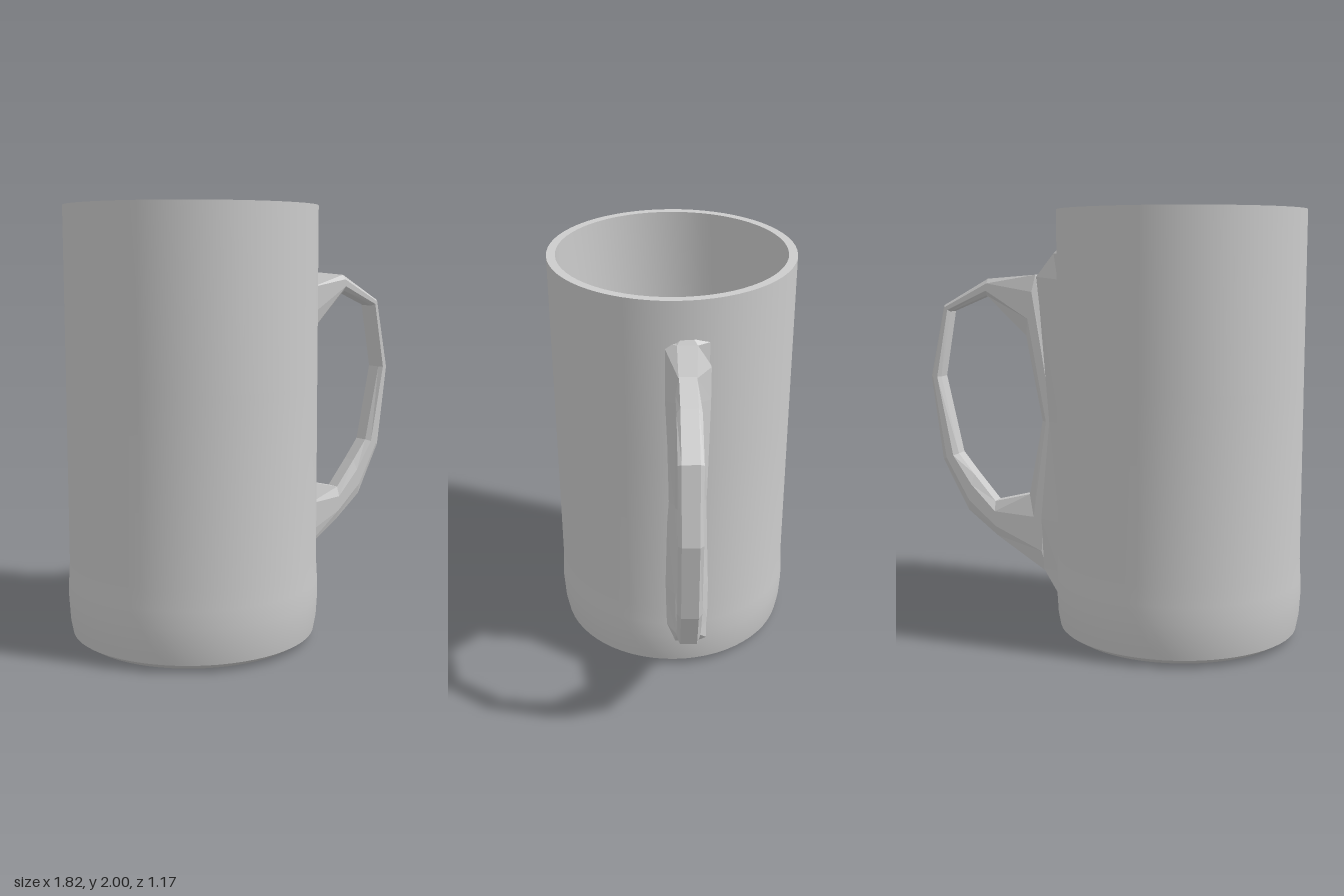
import * as THREE from 'three';
import { toCreasedNormals } from 'three/addons/utils/BufferGeometryUtils.js';

const CUP_X = -0.325;
const HANDLE_Z = -0.055;

// Skin a list of cross-sections with flat quads.
function loft(sections, closedPath, closedSection) {
  const pos = [];
  const n = sections.length, m = sections[0].length;
  for (let i = 0; i < (closedPath ? n : n - 1); i++) {
    const s = sections[i], t = sections[(i + 1) % n];
    for (let j = 0; j < (closedSection ? m : m - 1); j++) {
      const k = (j + 1) % m;
      pos.push(...s[j], ...t[k], ...s[k], ...s[j], ...t[j], ...t[k]);
    }
  }
  const g = new THREE.BufferGeometry();
  g.setAttribute('position', new THREE.Float32BufferAttribute(pos, 3));
  g.computeVertexNormals();
  return g;
}

export function createModel() {
  const group = new THREE.Group();
  const smooth = new THREE.MeshStandardMaterial({ color: 0xcccccc });
  const faceted = new THREE.MeshStandardMaterial({
    color: 0xcccccc, flatShading: true, side: THREE.DoubleSide,
  });

  // Cup: outer wall, flat rim, inner wall and floor in one profile
  const profile = [
    [0, 0], [0.52, 0.005], [0.568, 0.035], [0.58, 0.1], [0.586, 0.2], [0.584, 0.28],
    [0.579, 0.37], [0.578, 1.2], [0.578, 2],
    [0.537, 2], [0.535, 0.3], [0.52, 0.17], [0.48, 0.12], [0, 0.1],
  ].map(([r, y]) => new THREE.Vector2(r, y));
  const cup = new THREE.Mesh(toCreasedNormals(new THREE.LatheGeometry(profile, 64), 0.6), smooth);
  cup.name = 'cup';
  cup.position.x = CUP_X;
  group.add(cup);

  const handle = new THREE.Group();
  handle.name = 'handle';
  handle.position.z = HANDLE_Z;
  group.add(handle);

  // Grip: a faceted loop; each station is inner x, y, outer x, y
  const stations = [
    [0.33, 1.0, 0.25, 1.0],
    [0.41, 1.41, 0.36, 1.70],
    [0.61, 1.60, 0.60, 1.68],
    [0.80, 1.52, 0.83, 1.55],
    [0.855, 1.2, 0.905, 1.2],
    [0.77, 0.82, 0.85, 0.79],
    [0.69, 0.72, 0.72, 0.54],
    [0.58, 0.59, 0.57, 0.42],
    [0.40, 0.635, 0.31, 0.25],
  ];
  // Section: fraction from inner to outer edge, and half width
  const half = [[0, 0.034], [0.28, 0.054], [0.72, 0.054], [1, 0.038]];
  const section = [...half, ...half.map(([t, w]) => [t, -w]).reverse()];
  const grip = new THREE.Mesh(loft(stations.map(([ix, iy, ox, oy]) =>
    section.map(([t, w]) => [ix + (ox - ix) * t, iy + (oy - iy) * t, w])), true, true), faceted);
  grip.name = 'grip';
  handle.add(grip);

  // Mount: flared strip joining the grip to the wall
  // (wall y, wall half width, ridge x, ridge y, ridge half width)
  const flare = [
    [1.82, 0.05, 0.25, 1.82, 0.03],
    [1.80, 0.11, 0.265, 1.80, 0.045],
    [1.68, 0.11, 0.355, 1.69, 0.04],
    [1.52, 0.11, 0.335, 1.56, 0.054],
    [1.0, 0.10, 0.29, 1.0, 0.054],
    [0.52, 0.112, 0.335, 0.52, 0.054],
    [0.28, 0.112, 0.325, 0.27, 0.048],
    [0.16, 0.112, 0.26, 0.17, 0.05],
    [0.15, 0.05, 0.245, 0.15, 0.03],
  ];
  const mount = new THREE.Mesh(loft(flare.map(([wy, ww, rx, ry, rw]) =>
    [[0.225, wy, ww], [rx, ry, rw], [rx, ry, -rw], [0.225, wy, -ww]]), false, false), faceted);
  mount.name = 'handleMount';
  handle.add(mount);

  return group;
}
